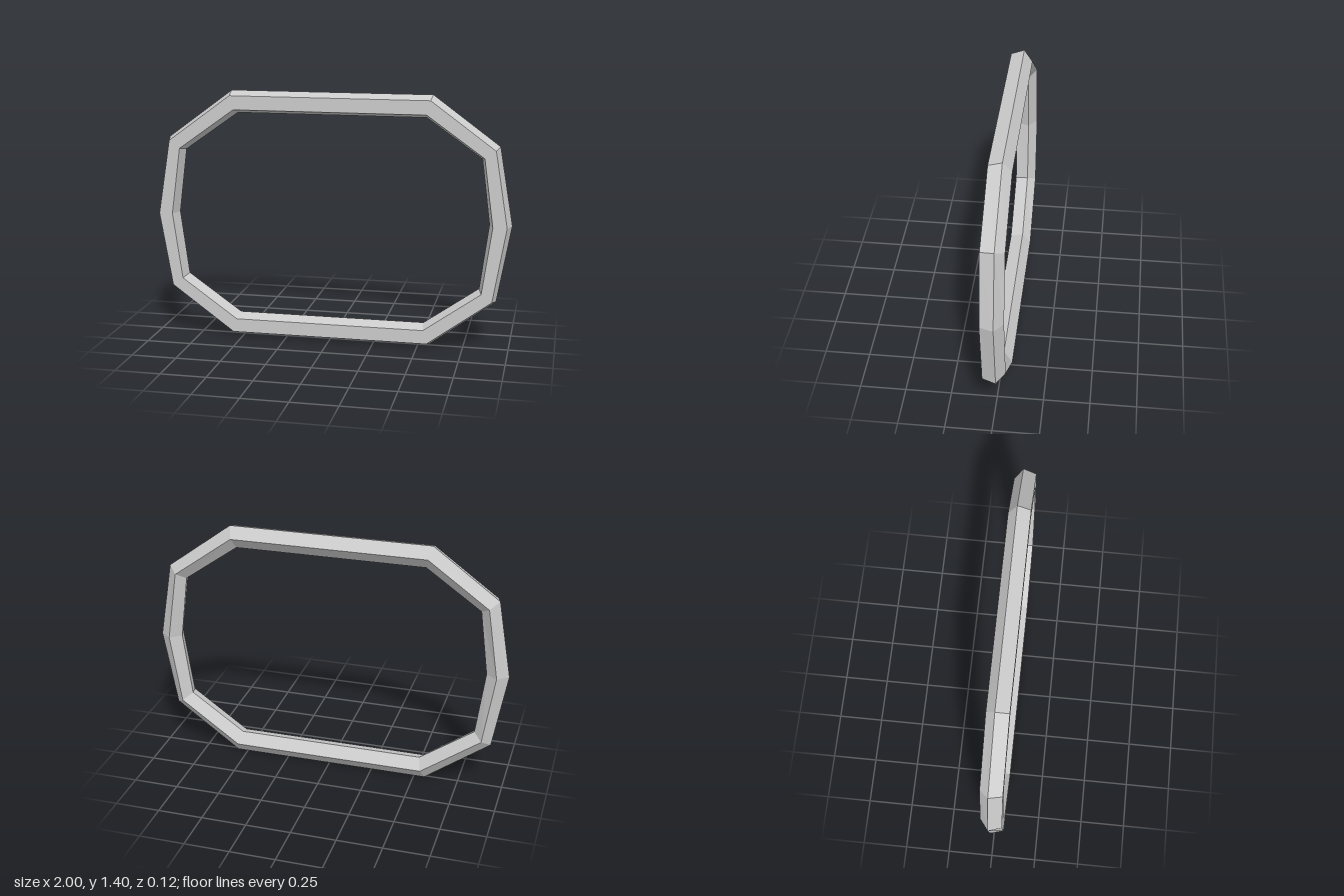
import * as THREE from 'three';

export function createModel() {
  const group = new THREE.Group();
  const midY = 0.699;

  // Outer and inner corners of one quarter, measured from the ring centre
  const outer = [[1, 0], [0.925, 0.43], [0.56, 0.699]];
  const inner = [[0.877, 0], [0.83, 0.361], [0.527, 0.575]];

  // Mirror a quarter into the full ten-cornered loop, counter-clockwise
  const fullLoop = ([a, b, c]) => {
    const right = [a, b, c];
    const left = [c, b, a].map(([x, y]) => [-x, y]);
    const lower = [b, c].map(([x, y]) => [-x, -y]);
    return [...right, ...left, ...lower, ...[c, b].map(([x, y]) => [x, -y])];
  };
  const outerLoop = fullLoop(outer);
  const innerLoop = fullLoop(inner);

  // Pentagonal section: [share of the way from outer to inner, z]
  const section = [[0.5, -0.06], [0, -0.013], [0.19, 0.06], [0.81, 0.06], [1, -0.013]];

  const n = outerLoop.length;
  const m = section.length;
  const positions = [];
  const index = [];
  for (let i = 0; i < n; i++) {
    const [ox, oy] = outerLoop[i];
    const [ix, iy] = innerLoop[i];
    section.forEach(([t, z], j) => {
      positions.push(ox + (ix - ox) * t, midY + oy + (iy - oy) * t, z);
      const next = (i + 1) % n;
      const k = (j + 1) % m;
      const a = i * m + j, b = next * m + j, c = next * m + k, d = i * m + k;
      index.push(a, b, c, a, c, d);
    });
  }

  // Faceted frame ring
  let geometry = new THREE.BufferGeometry();
  geometry.setAttribute('position', new THREE.Float32BufferAttribute(positions, 3));
  geometry.setIndex(index);
  geometry = geometry.toNonIndexed();
  geometry.computeVertexNormals();
  const frame = new THREE.Mesh(
    geometry,
    new THREE.MeshStandardMaterial({ color: 0xcccccc, flatShading: true })
  );
  frame.name = 'frameRing';
  group.add(frame);
  return group;
}
